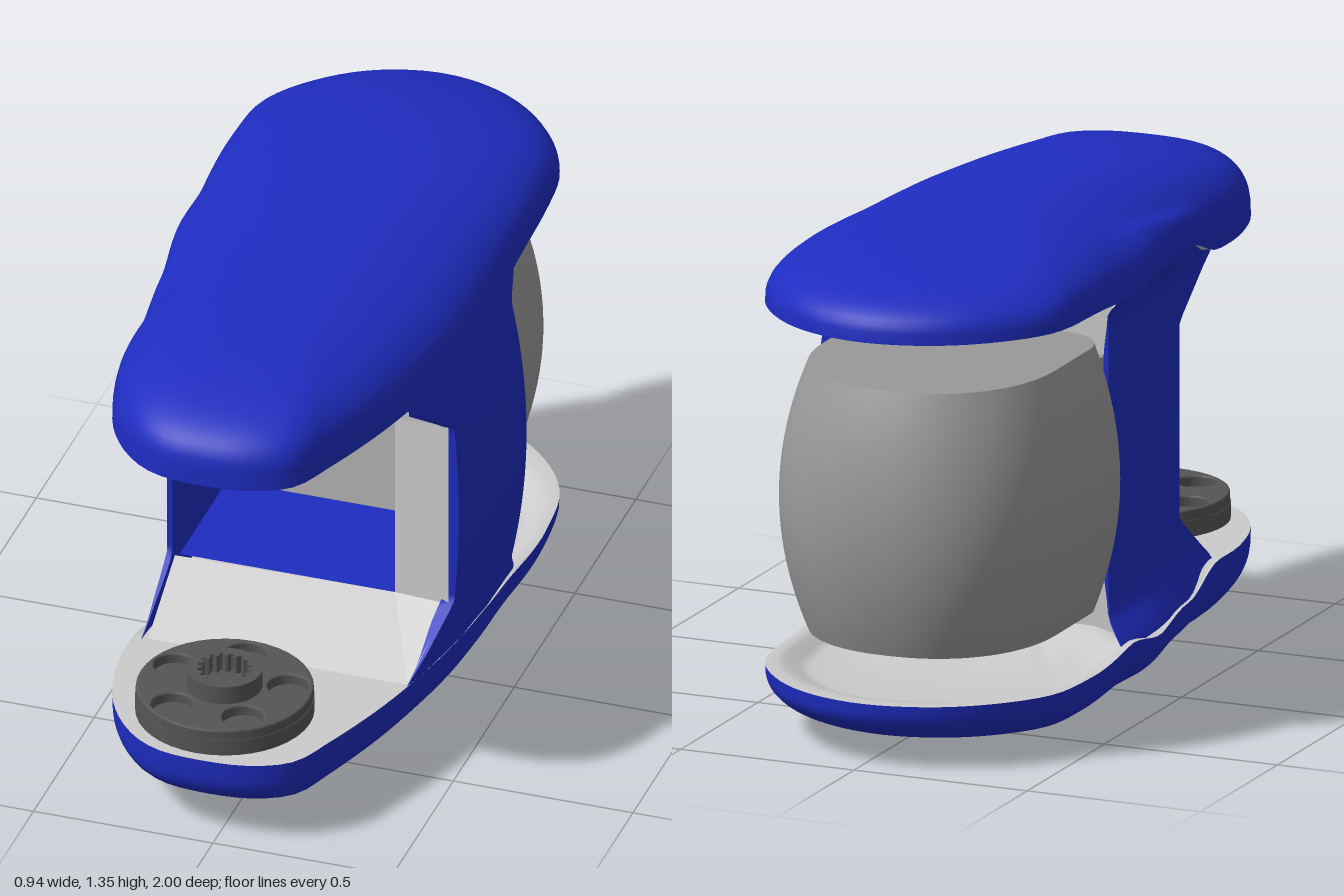
import * as THREE from 'three';
import { mergeVertices, mergeGeometries } from 'three/addons/utils/BufferGeometryUtils.js';

const MID = 0.675; // height of the mirror plane between both shells
const mat = (color) => new THREE.MeshStandardMaterial({ color, side: THREE.DoubleSide });
const blue = mat(0x1e2cc0), light = mat(0xcccccc), grey = mat(0x999999), dark = mat(0x555555);
const { lerp, smoothstep } = THREE.MathUtils;

// Rows of z, right edge x, left edge x of the shell seen from above
const ROWS = [
  [0.985, 0.1, -0.16], [0.93, 0.2, -0.25], [0.8, 0.26, -0.345], [0.6, 0.33, -0.4],
  [0.4, 0.38, -0.405], [0.2, 0.415, -0.42], [0, 0.425, -0.45], [-0.2, 0.42, -0.46],
  [-0.5, 0.42, -0.465], [-0.7, 0.39, -0.44], [-0.85, 0.29, -0.33], [-0.945, 0.16, -0.19],
];

function edgeX(z, col) {
  const i = Math.max(1, ROWS.findIndex((r) => r[0] <= z));
  const a = ROWS[i - 1], b = ROWS[i];
  return lerp(a[col], b[col], (z - a[0]) / (b[0] - a[0]));
}

// Smooth surface from a rule f(u, v) -> [x, y, z]
function surface(nu, nv, f) {
  const pos = [], idx = [];
  for (let j = 0; j <= nv; j++) for (let i = 0; i <= nu; i++) pos.push(...f(i / nu, j / nv));
  for (let j = 0; j < nv; j++) for (let i = 0; i < nu; i++) {
    const a = j * (nu + 1) + i, b = a + nu + 1;
    idx.push(a, a + 1, b, a + 1, b + 1, b);
  }
  let g = new THREE.BufferGeometry();
  g.setAttribute('position', new THREE.Float32BufferAttribute(pos, 3));
  g.setIndex(idx);
  g = mergeVertices(g, 1e-5);
  g.computeVertexNormals();
  return g;
}

// Flat strip between two loops of corners
function strip(a, b, closed = true) {
  const parts = [];
  for (let i = 0; i < a.length - (closed ? 0 : 1); i++) {
    const k = (i + 1) % a.length;
    parts.push(surface(1, 1, (u, v) => {
      const p = u ? a[k] : a[i], q = u ? b[k] : b[i];
      return v ? q : p;
    }));
  }
  return mergeGeometries(parts);
}

function add(parent, name, geo, material) {
  const m = new THREE.Mesh(geo, material);
  m.name = name;
  parent.add(m);
  return m;
}

// Half shell: domed cover with a lining that is dished at the back
function shell(name) {
  const g = new THREE.Group();
  g.name = name;
  const pts = [[-0.03, 1], ...ROWS.map((r) => [r[1], r[0]]), [-0.01, -0.985],
    ...[...ROWS].reverse().map((r) => [r[2], r[0]])].map(([x, z]) => new THREE.Vector3(x, 0, z));
  const ring = new THREE.CatmullRomCurve3(pts, true).getSpacedPoints(120);
  const edge = (u) => ring[Math.round(u * 120) % 120];
  const at = (u, s) => [lerp(-0.02, edge(u).x, s), edge(u).z * s];
  // The rim rises toward the back and is cut away beside the recessed wall
  const rim = (x, z) => {
    const cut = smoothstep(-x, 0.34, 0.4) * smoothstep(z, -0.25, 0) * (1 - smoothstep(z, 0.25, 0.47));
    return lerp(1.17, 1.1, smoothstep(z, -0.5, 0.2)) + 0.06 * cut - MID;
  };
  const top = (z) => 1.35 - 0.035 * (z + 0.25) ** 2 - MID;
  add(g, 'cover', surface(120, 20, (u, v) => {
    const a = (v * Math.PI) / 2, ez = edge(u).z;
    const power = lerp(0.8, ez > 0 ? 0.5 : 0.66, ez * ez); // fuller at the ends than at the sides
    const [x, z] = at(u, v === 1 ? 0 : Math.cos(a) ** power);
    return [x, lerp(rim(x, z), top(z), Math.sin(a) ** power), z];
  }), blue);
  const scales = [1, 0.96, 0.92, 0.87, 0.82, 0.65, 0.45, 0.25, 0];
  add(g, 'lining', surface(120, 8, (u, v) => {
    const s = scales[Math.round(v * 8)];
    const [x, z] = at(u, s);
    const dish = 0.04 * (1 - smoothstep(s, 0.82, 0.95)) * (1 - smoothstep(z, -0.28, -0.15));
    return [x, rim(x, z) + dish, z];
  }), light);
  return g;
}

// Upright wall joining both shells; outer(z, d) gives x, d is the distance from mid height
function pillar(outer, thick) {
  const z0 = (d) => -0.19 - 0.07 * smoothstep(d, 0.38, 0.48);
  const z1 = (d) => 0.27 + 0.2 * Math.min(1, Math.max(0, (d - 0.27) / 0.15));
  const p = (s, v, t) => {
    const y = (v * 2 - 1) * 0.49, d = Math.abs(y), z = lerp(z0(d), z1(d), s);
    return [outer(z, d) + t * thick * (1 - 0.85 * smoothstep(d, 0.28, 0.42)), y + MID, z];
  };
  return mergeGeometries([
    surface(12, 48, (u, v) => p(u, v, 0)), surface(12, 48, (u, v) => p(u, v, 1)),
    surface(1, 48, (u, v) => p(0, v, u)), surface(1, 48, (u, v) => p(1, v, u)),
  ]);
}

// Barrel-sided housing with a round back and an open, rounded front
function housing() {
  const g = new THREE.Group();
  g.name = 'drumHousing';
  const H = 0.363, Y = 0.663, C = -0.05, Z = -0.55, FRONT = -0.2, R = 0.12;
  const path = (u, y) => {
    const bulge = 1 - (y / H) ** 2;
    const w = 0.335 + 0.075 * bulge, depth = 0.37 + 0.075 * bulge;
    const side = u < 0.5 ? -1 : 1, k = Math.min(u, 1 - u) * 8;
    if (k < 1) {
      const a = (k * Math.PI) / 2; // rounded front corner
      return [C + side * (w - R + R * Math.sin(a)), y + Y, FRONT - 0.14 * (1 - Math.cos(a))];
    }
    const a = ((u - 0.125) / 0.75) * Math.PI, c = Math.cos(a);
    return [C - w * Math.sign(c) * Math.abs(c) ** 0.9, y + Y, Z - depth * Math.abs(Math.sin(a)) ** 0.9];
  };
  add(g, 'drumWall', surface(80, 24, (u, v) => path(u, lerp(-H, H, v))), grey);
  for (const s of [-1, 1]) {
    add(g, 'drumCap', surface(80, 1, (u, v) => {
      const [x, y, z] = path(u, s * H);
      return [lerp(x, C, v), y, z];
    }), grey);
  }
  return g;
}

// Ring with teeth around its bore, lying flat
function splinedHub(r, h) {
  const s = new THREE.Shape().absarc(0, 0, r, 0, Math.PI * 2);
  const bore = [];
  for (let i = 0; i < 64; i++) {
    const a = (i / 64) * Math.PI * 2, k = r * (i % 4 < 2 ? 0.74 : 0.62);
    bore.push(new THREE.Vector2(Math.cos(a) * k, Math.sin(a) * k));
  }
  s.holes.push(new THREE.Path(bore));
  return new THREE.ExtrudeGeometry(s, { depth: h, bevelEnabled: false, curveSegments: 24 }).rotateX(-Math.PI / 2);
}

function knob() {
  const g = new THREE.Group();
  g.name = 'lowerKnob';
  add(g, 'knobBase', new THREE.CylinderGeometry(0.237, 0.237, 0.045, 40), dark).position.y = 0.0225;
  // Upper disc with a circle of round pockets
  const s = new THREE.Shape().absarc(0, 0, 0.235, 0, Math.PI * 2);
  for (let i = 0; i < 5; i++) {
    const a = (i / 5) * Math.PI * 2 + 0.3;
    s.holes.push(new THREE.Path().absarc(Math.cos(a) * 0.168, Math.sin(a) * 0.168, 0.055, 0, Math.PI * 2));
  }
  const disc = new THREE.ExtrudeGeometry(s, {
    depth: 0.025, bevelEnabled: true, bevelSize: 0.006, bevelOffset: -0.006, bevelThickness: 0.005, bevelSegments: 2, curveSegments: 20,
  });
  add(g, 'knobDisc', disc.rotateX(-Math.PI / 2), dark).position.y = 0.045;
  add(g, 'knobHub', splinedHub(0.1, 0.055), dark).position.y = 0.072;
  g.position.set(-0.055, 0.255, 0.74);
  return g;
}

export function createModel() {
  const model = new THREE.Group();
  model.name = 'dispenser';

  // Mirrored shells
  const upper = shell('upperShell'), lower = shell('lowerShell');
  upper.position.y = lower.position.y = MID;
  lower.scale.y = -1;
  model.add(upper, lower);

  // Bulging wall on the left, recessed wall on the right
  const swell = (z) => lerp(0.05, 0.035, smoothstep(z, -0.1, 0.27));
  add(model, 'leftPillar', pillar((z, d) => edgeX(z, 1) + swell(z) * (1 - (d / 0.43) ** 2), -0.035), blue);
  add(model, 'rightWall', pillar((z, d) => lerp(-0.375, edgeX(z, 2) + 0.008, smoothstep(d, 0.39, 0.5)), 0.015), blue);

  // Funnel leading from the front bay to a window
  const mouth = [[-0.36, 0.255, 0.47], [0.363, 0.255, 0.472], [0.41, 0.4, 0.275], [0.41, 0.945, 0.275], [0.363, 1.065, 0.46], [-0.36, 1.065, 0.47]];
  const win = [[-0.36, 0.385, 0.25], [0.25, 0.385, 0.24], [0.25, 0.385, 0.24], [0.25, 0.94, 0.24], [0.25, 0.94, 0.24], [-0.36, 0.94, 0.25]];
  add(model, 'funnel', strip(mouth, win, false), light);
  add(model, 'funnelStep', strip(mouth.slice(4), mouth.slice(4).map(([x, , z]) => [x, 1.105, z]), false), light);

  // Passage from the window to the housing
  const frame = (z, e) => [[-0.35, 0.385 - e, z], [0.25 + e, 0.385 - e, z], [0.25 + e, 0.94 + e, z], [-0.35, 0.94 + e, z]];
  add(model, 'passage', strip(frame(0.24, 0), frame(-0.15, 0)), blue);
  add(model, 'neck', strip(frame(-0.15, 0.02), frame(-0.22, 0.02)), grey);

  // Partition behind the walls
  const plate = new THREE.Shape([[-0.37, 0.19], [0.4, 0.19], [0.425, 0.5], [0.425, 0.85], [0.4, 1.16], [-0.37, 1.16]].map((p) => new THREE.Vector2(...p)));
  plate.holes.push(new THREE.Path(frame(0, 0).map(([x, y]) => new THREE.Vector2(x, y))));
  add(model, 'partition', new THREE.ShapeGeometry(plate).translate(0, 0, -0.15), light);

  model.add(housing(), knob());
  add(model, 'upperHub', splinedHub(0.112, 0.065), dark).position.set(-0.057, 1.04, 0.74);
  return model;
}
